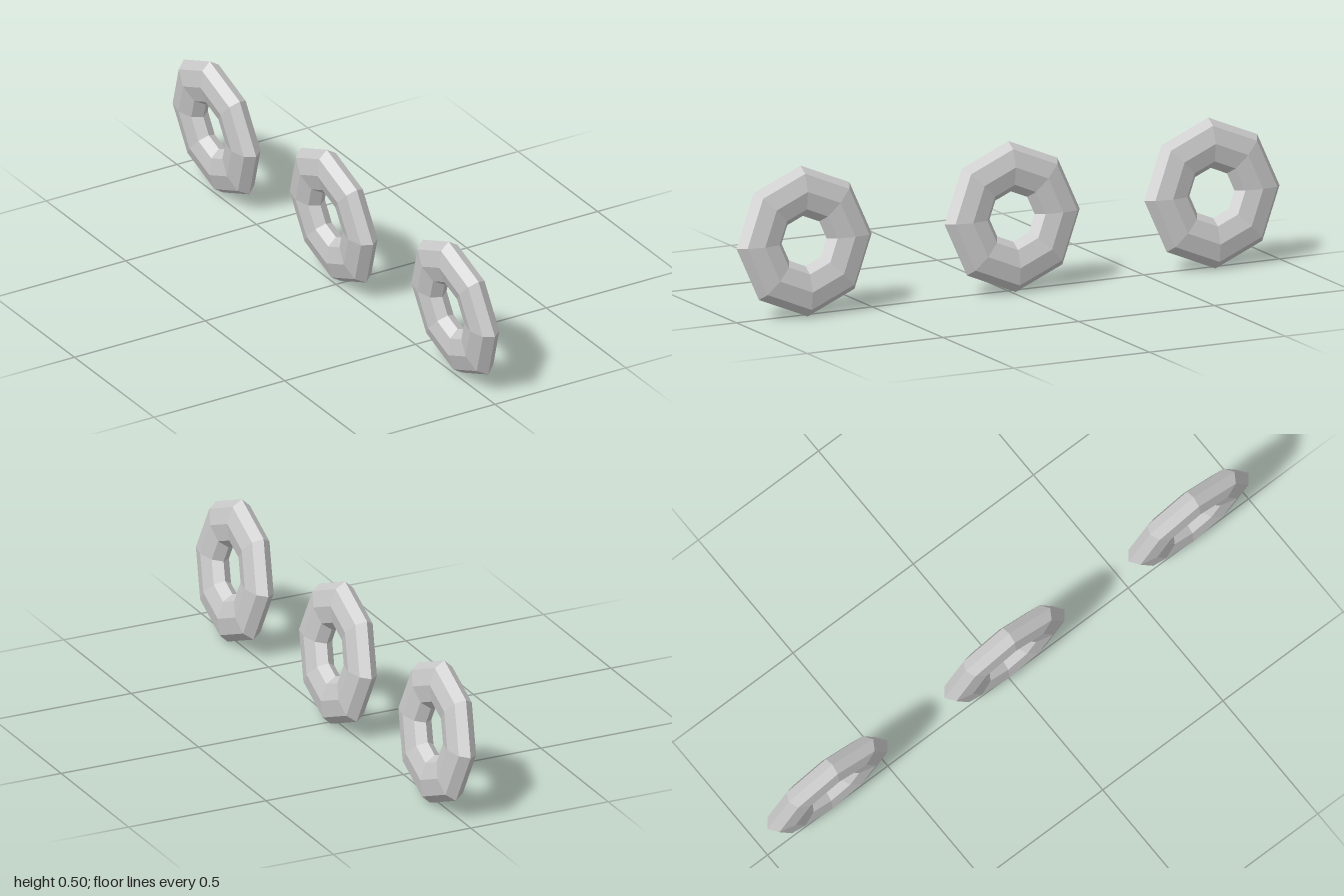
import * as THREE from 'three';

export function createModel() {
  const model = new THREE.Group();
  const material = new THREE.MeshStandardMaterial({ color: 0xcccccc, flatShading: true });

  // Eight-sided ring, flattened along its axis, which then points along x
  const ring = new THREE.TorusGeometry(0.166, 0.083, 8, 8);
  ring.scale(1, 1, 0.54);
  ring.rotateY(Math.PI / 2);
  // Lean the top towards -x
  ring.rotateZ(THREE.MathUtils.degToRad(6));

  // Row of three rings from front to back
  const row = { frontRing: 0.751, middleRing: -0.015, backRing: -0.751 };
  for (const [name, z] of Object.entries(row)) {
    const mesh = new THREE.Mesh(ring, material);
    mesh.name = name;
    mesh.position.set(0, 0.248, z);
    model.add(mesh);
  }
  return model;
}
